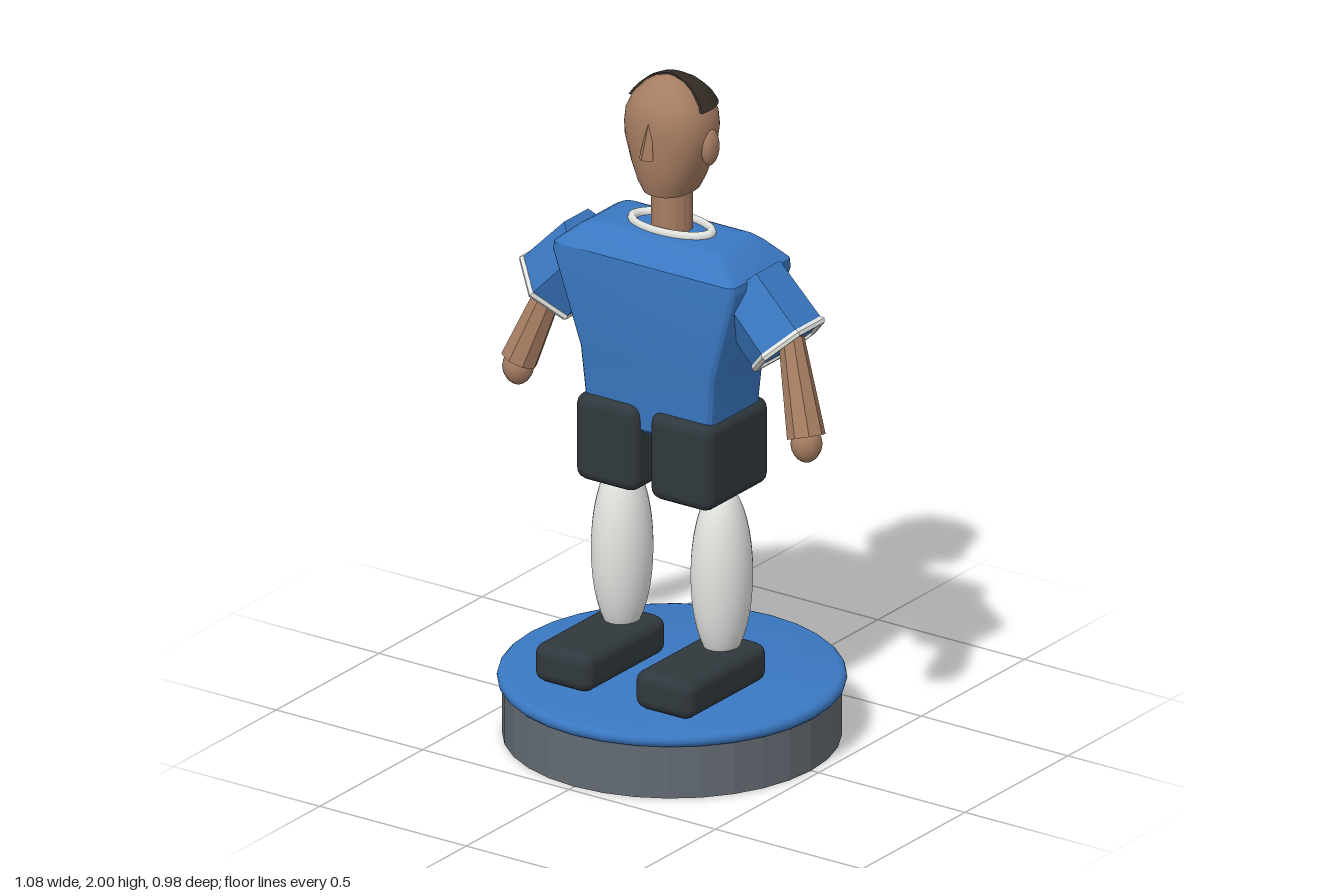
import * as THREE from 'three';
import { toCreasedNormals } from 'three/addons/utils/BufferGeometryUtils.js';
import { RoundedBoxGeometry } from 'three/addons/geometries/RoundedBoxGeometry.js';

const mat = (color, flatShading = false) => new THREE.MeshStandardMaterial({ color, flatShading });
const blue = mat(0x3a78c2), skin = mat(0xa67d62), white = mat(0xe4e6e2);
const dark = mat(0x30383d), grey = mat(0x626a72), hairMat = mat(0x352d27);

// Rings run counter-clockwise seen from above
const ovalRing = (power, n = 28) => (hx, hz) => Array.from({ length: n }, (_, i) => {
  const t = (i / n) * Math.PI * 2, s = Math.sin(t), c = Math.cos(t);
  const r = (v) => Math.sign(v) * Math.abs(v) ** (2 / power);
  return [hx * r(s), hz * r(c)];
});
const rectRing = (radius, steps = 3) => (hx, hz) => {
  const pts = [];
  [[1, 1], [1, -1], [-1, -1], [-1, 1]].forEach(([sx, sz], q) => {
    for (let k = 0; k <= steps; k++) {
      const a = (q + k / steps) * Math.PI / 2;
      pts.push([sx * (hx - radius) + radius * Math.sin(a), sz * (hz - radius) + radius * Math.cos(a)]);
    }
  });
  return pts;
};

// Skins cross-sections [y, halfWidth, halfDepth] and closes both ends
function loft(sections, ring, crease, adjust = (x, y, z) => [x, y, z]) {
  const pos = [], idx = [];
  const rings = sections.map(([, hx, hz]) => ring(hx, hz));
  const n = rings[0].length, last = sections.length - 1;
  rings.forEach((r, j) => r.forEach(([x, z]) => pos.push(...adjust(x, sections[j][0], z))));
  pos.push(0, sections[0][0], 0, 0, sections[last][0], 0);
  const bottom = n * (last + 1), top = bottom + 1;
  for (let i = 0; i < n; i++) {
    const k = (i + 1) % n;
    for (let j = 0; j < last; j++) {
      const a = j * n + i, b = j * n + k;
      idx.push(a, b, b + n, a, b + n, a + n);
    }
    idx.push(bottom, k, i, top, last * n + i, last * n + k);
  }
  const g = new THREE.BufferGeometry();
  g.setAttribute('position', new THREE.Float32BufferAttribute(pos, 3));
  g.setIndex(idx);
  return toCreasedNormals(g, crease);
}

export function createModel() {
  const model = new THREE.Group();
  const add = (name, geometry, material, x = 0, y = 0, z = 0, parent = model) => {
    const m = new THREE.Mesh(geometry, material);
    m.name = name;
    m.position.set(x, y, z);
    parent.add(m);
    return m;
  };

  // Round stand with a softly rounded top disc
  add('standBase', toCreasedNormals(new THREE.CylinderGeometry(0.475, 0.475, 0.165, 32), 0.1), grey, 0, 0.0825);
  const rim = [new THREE.Vector2(0, 0.155)];
  for (let i = 0; i <= 6; i++) {
    const a = -Math.PI / 2 + (i / 6) * Math.PI;
    rim.push(new THREE.Vector2(0.47 + 0.02 * Math.cos(a), 0.175 + 0.02 * Math.sin(a)));
  }
  rim.push(new THREE.Vector2(0, 0.195));
  add('standTop', toCreasedNormals(new THREE.LatheGeometry(rim, 32), 0.6), blue);

  // Shirt body
  const torso = [
    [0.94, 0.195, 0.105], [0.955, 0.213, 0.122], [1.16, 0.23, 0.132], [1.44, 0.312, 0.15],
    [1.465, 0.31, 0.148], [1.515, 0.25, 0.112], [1.53, 0.225, 0.098], [1.535, 0.2, 0.085],
  ];
  add('shirt', loft(torso, rectRing(0.025), 0.45), blue);
  const collar = add('collar', new THREE.TorusGeometry(0.128, 0.015, 8, 32).rotateX(Math.PI / 2), white, 0, 1.54);
  collar.scale.z = 0.52;

  // Neck and head
  add('neck', toCreasedNormals(new THREE.CylinderGeometry(0.06, 0.06, 0.16, 16), 0.3), skin, 0, 1.6);
  const head = [
    [1.655, 0.07, 0.09], [1.69, 0.088, 0.104], [1.74, 0.108, 0.112], [1.8, 0.127, 0.116],
    [1.85, 0.135, 0.117], [1.89, 0.13, 0.115], [1.93, 0.112, 0.1], [1.965, 0.08, 0.074],
    [1.985, 0.048, 0.045], [1.995, 0.012, 0.012],
  ];
  add('head', loft(head, ovalRing(2.3), 0.8), skin);

  // Hair covers the back of the crown, with a sloped front edge
  const hair = [
    [1.915, 0.13, 0.117], [1.935, 0.117, 0.106], [1.955, 0.099, 0.09], [1.975, 0.075, 0.068],
    [1.99, 0.045, 0.042], [2, 0.008, 0.008],
  ];
  add('hair', loft(hair, ovalRing(2.3), 0.8,
    (x, y, z) => [x, y, Math.min(z, 0.005 + 0.3 * (2 - y))]), hairMat);

  // Slim four-sided nose leaning back into the face
  const nose = add('nose', new THREE.ConeGeometry(0.024, 0.145, 4), mat(0xa67d62, true), 0, 1.85, 0.114);
  nose.rotation.x = -0.16;

  for (const [side, s] of [['left', 1], ['right', -1]]) {
    const ear = add(side + 'Ear', new THREE.SphereGeometry(1, 16, 12), skin, s * 0.13, 1.805, 0);
    ear.scale.set(0.022, 0.054, 0.034);

    // Six-sided sleeve with a pale cuff
    const sleeve = new THREE.Group();
    sleeve.name = side + 'Sleeve';
    sleeve.position.set(s * 0.327, 1.345, 0);
    sleeve.rotation.z = s * 0.77;
    model.add(sleeve);
    add('sleeve', toCreasedNormals(new THREE.CylinderGeometry(0.116, 0.12, 0.206, 6), 0.3), blue, 0, 0, 0, sleeve);
    const cuff = new THREE.TorusGeometry(0.115, 0.012, 6, 6).rotateZ(Math.PI / 6).rotateX(Math.PI / 2);
    add('cuff', toCreasedNormals(cuff, 0.5), white, 0, -0.1, 0, sleeve);

    // Forearm widening towards the hand
    const elbow = new THREE.Vector3(s * 0.4, 1.29, -0.01), wrist = new THREE.Vector3(s * 0.49, 1.03, 0.045);
    const mid = elbow.clone().add(wrist).multiplyScalar(0.5);
    const arm = add(side + 'Forearm', toCreasedNormals(
      new THREE.CylinderGeometry(0.037, 0.055, elbow.distanceTo(wrist), 8), 0.3), skin, mid.x, mid.y, mid.z);
    arm.quaternion.setFromUnitVectors(new THREE.Vector3(0, 1, 0), elbow.clone().sub(wrist).normalize());
    const hand = add(side + 'Hand', new THREE.SphereGeometry(0.045, 10, 8), skin, s * 0.492, 1.01, 0.047);
    hand.scale.y = 1.2;

    // Shorts leg, sock and boot
    add(side + 'Shorts', new RoundedBoxGeometry(0.213, 0.262, 0.306, 2, 0.035), dark, s * 0.127, 0.895, 0);
    const sock = add(side + 'Sock', new THREE.SphereGeometry(1, 24, 20), white, s * 0.17, 0.525, 0);
    sock.scale.set(0.085, 0.27, 0.094);
    add(side + 'Boot', new RoundedBoxGeometry(0.196, 0.116, 0.394, 2, 0.035), dark, s * 0.172, 0.252, 0.105);
  }
  return model;
}
